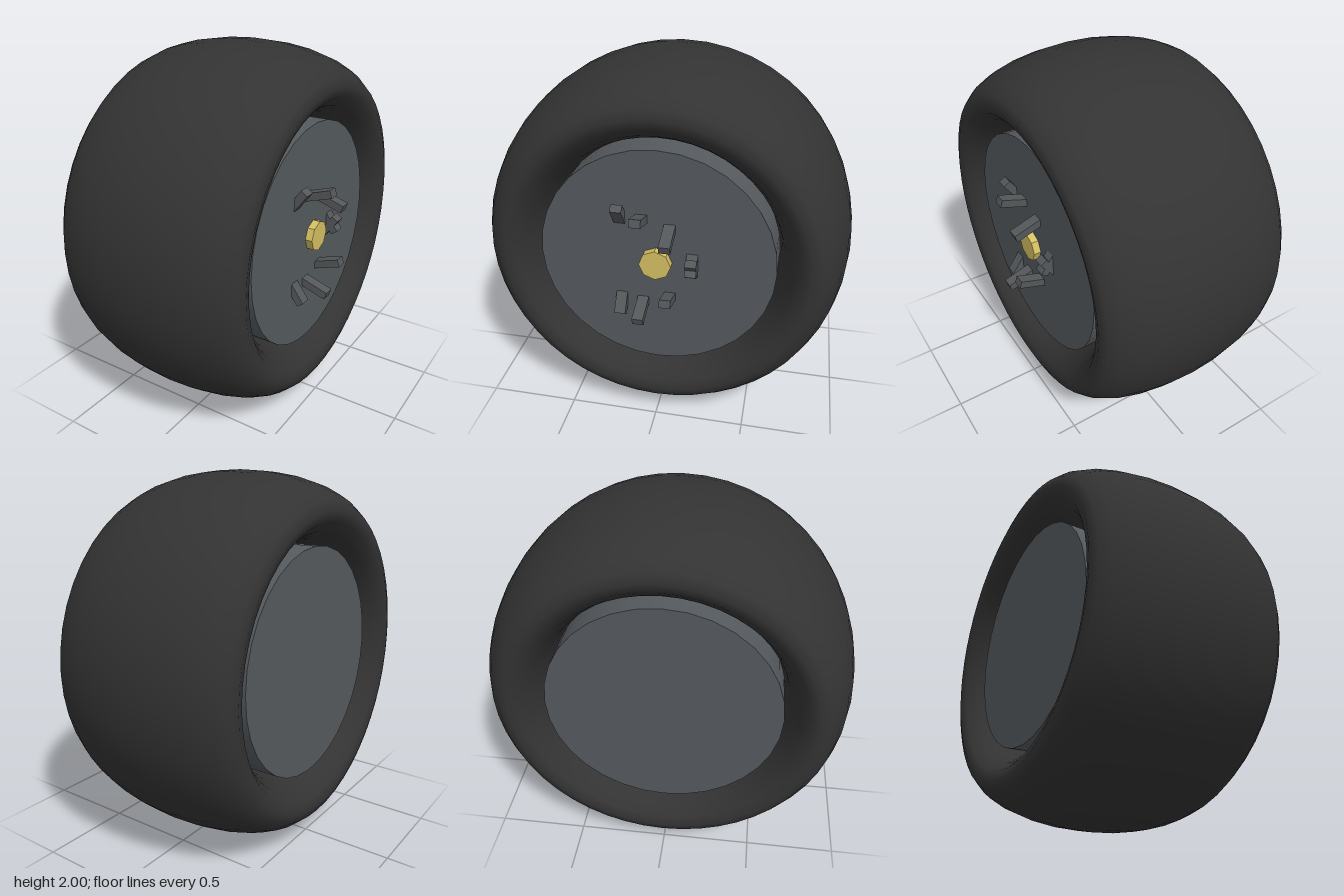
import * as THREE from 'three';

const CENTRE_X = -0.035; // middle of the tyre along the axle
const FACE_X = 0.435;    // outer face of the wheel disc

const paint = (color, flatShading = false) =>
  new THREE.MeshStandardMaterial({ color, flatShading });

function part(name, geometry, material) {
  const mesh = new THREE.Mesh(geometry, material);
  mesh.name = name;
  return mesh;
}

export function createModel() {
  const model = new THREE.Group();
  model.name = 'wheel';
  const wheel = new THREE.Group();
  wheel.name = 'wheelAssembly';
  wheel.position.y = 1;
  model.add(wheel);

  // Wide tyre: a torus stretched along the axle
  const tyreGeometry = new THREE.TorusGeometry(0.8, 0.2, 24, 48);
  tyreGeometry.scale(1, 1, 2.775);
  tyreGeometry.rotateY(Math.PI / 2);
  const tyre = part('tyre', tyreGeometry, paint(0x333333));
  tyre.position.x = CENTRE_X;
  wheel.add(tyre);

  // Solid wheel disc, plain on the inner side
  const discGeometry = new THREE.CylinderGeometry(0.625, 0.625, 2 * (FACE_X - CENTRE_X), 32);
  discGeometry.rotateZ(-Math.PI / 2);
  const disc = part('wheelDisc', discGeometry, paint(0x555a5e));
  disc.position.x = CENTRE_X;
  wheel.add(disc);

  // Eight-sided hub cap
  const capGeometry = new THREE.CylinderGeometry(0.085, 0.085, 0.08, 8);
  capGeometry.rotateZ(-Math.PI / 2);
  const cap = part('hubCap', capGeometry, paint(0xd4bf62, true));
  cap.position.x = FACE_X;
  wheel.add(cap);

  // Spoke ends leaning out of the disc: tip x, tip y, z and lean from the axle in degrees
  const length = 0.22;
  const spokeGeometry = new THREE.BoxGeometry(length, 0.043, 0.06);
  spokeGeometry.translate(-length / 2, 0, 0);
  const spokeMaterial = paint(0x55585a, true);
  const spokes = [
    [0.578, 0.295, 0.073, 18],
    [0.578, 0.160, -0.073, -18],
    [0.488, 0.320, 0.19, 54],
    [0.488, 0.042, -0.19, 54],
  ];
  for (const [x, y, z, lean] of spokes) {
    for (const side of [1, -1]) {
      const spoke = part('spokeEnd', spokeGeometry, spokeMaterial);
      spoke.position.set(x, y * side, z);
      spoke.rotation.z = THREE.MathUtils.degToRad(lean * side);
      wheel.add(spoke);
    }
  }
  return model;
}
